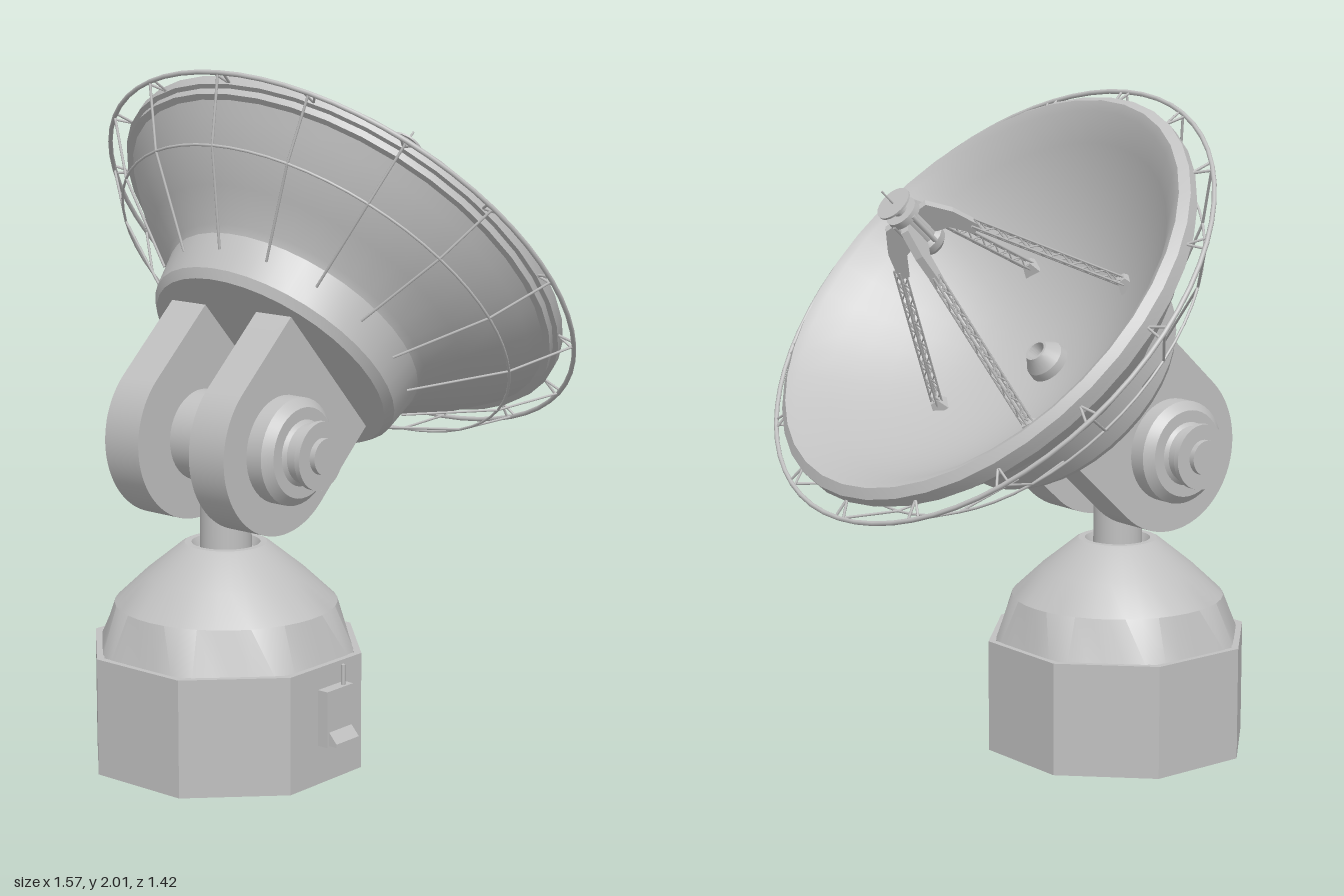
import * as THREE from 'three';
import { toCreasedNormals } from 'three/addons/utils/BufferGeometryUtils.js';

const grey = new THREE.MeshStandardMaterial({ color: 0xc0c0c0, side: THREE.DoubleSide });
grey.name = 'light grey metal';

function add(parent, name, geometry) {
  const mesh = new THREE.Mesh(geometry, grey);
  mesh.name = name;
  parent.add(mesh);
  return mesh;
}

function lathe(points, segments = 40, crease = 0.45) {
  const g = new THREE.LatheGeometry(points.map(([r, y]) => new THREE.Vector2(r, y)), segments);
  return toCreasedNormals(g, crease);
}

// Round bar between two points
function bar(parent, name, a, b, radius, sides = 6) {
  const dir = b.clone().sub(a);
  const mesh = add(parent, name, new THREE.CylinderGeometry(radius, radius, dir.length(), sides));
  mesh.position.copy(a).addScaledVector(dir, 0.5);
  mesh.quaternion.setFromUnitVectors(new THREE.Vector3(0, 1, 0), dir.normalize());
  return mesh;
}

// Point at an angle around the dish axis
const polar = (r, y, t) => new THREE.Vector3(r * Math.sin(t), y, r * Math.cos(t));

function createBase() {
  const base = new THREE.Group();
  base.name = 'base';
  base.position.z = 0.35;

  // Open eight-sided wall with a narrow rim
  const wall = add(base, 'octagonWall', lathe([[0.411, 0], [0.411, 0.345], [0.388, 0.345], [0.388, 0.33]], 8));
  wall.rotation.y = Math.PI / 8;

  // Dome that blends from the octagon into a cone
  const profile = [[0.36, 0.335], [0.325, 0.47], [0.235, 0.555], [0.13, 0.64], [0.12, 0.645],
    [0.1, 0.645], [0.09, 0.62], [0.06, 0.62]];
  const dome = new THREE.LatheGeometry(profile.map(([r, y]) => new THREE.Vector2(r, y)), 40);
  const p = dome.attributes.position;
  for (let i = 0; i < p.count; i++) {
    if (p.getY(i) > 0.34) continue;
    const t = Math.atan2(p.getX(i), p.getZ(i));
    const off = t - Math.round(t / (Math.PI / 4)) * (Math.PI / 4);
    const r = 0.365 / Math.cos(off);
    p.setXYZ(i, r * Math.sin(t), p.getY(i), r * Math.cos(t));
  }
  add(base, 'dome', toCreasedNormals(dome, 0.45));

  const neck = add(base, 'neck', new THREE.CylinderGeometry(0.075, 0.075, 0.28, 32));
  neck.position.y = 0.75;

  // Control box on the left wall with a sloping tray and a conduit
  const box = new THREE.Group();
  box.name = 'controlBox';
  box.position.set(0.38, 0, -0.02);
  base.add(box);
  add(box, 'boxBody', new THREE.BoxGeometry(0.035, 0.165, 0.115)).position.set(0.017, 0.198, 0);
  const tray = new THREE.Shape([[0.03, 0.12], [0.062, 0.12], [0.062, 0.13], [0.035, 0.16]]
    .map(([x, y]) => new THREE.Vector2(x, y)));
  add(box, 'boxTray', new THREE.ExtrudeGeometry(tray, { depth: 0.1, bevelEnabled: false })).position.z = -0.05;
  bar(box, 'conduit', new THREE.Vector3(0.02, 0.27, -0.03), new THREE.Vector3(0.02, 0.34, -0.03), 0.006, 8);
  return base;
}

function createMount(head) {
  // Two yoke arms, round at the pivot and square at the drum
  const outline = new THREE.Shape();
  outline.moveTo(-0.25, 0);
  outline.absarc(0, 0, 0.25, Math.PI, 2 * Math.PI, false);
  outline.lineTo(0.25, 0.3);
  outline.lineTo(-0.25, 0.3);
  const arm = new THREE.ExtrudeGeometry(outline, { depth: 0.13, bevelEnabled: false, curveSegments: 24 });
  arm.translate(0, 0, -0.065);
  arm.rotateY(-Math.PI / 2);
  const armGeometry = toCreasedNormals(arm, 0.45);

  // Stepped bearing caps on both ends of the axle
  const cap = lathe([[0.155, 0.22], [0.155, 0.28], [0.13, 0.305], [0.095, 0.305], [0.085, 0.315], [0.085, 0.35],
    [0.098, 0.353], [0.098, 0.37], [0.052, 0.37], [0.052, 0.388], [0, 0.388]]);
  for (const s of [1, -1]) {
    add(head, s > 0 ? 'leftYokeArm' : 'rightYokeArm', armGeometry).position.x = s * 0.162;
    add(head, s > 0 ? 'leftBearing' : 'rightBearing', cap).rotation.z = -s * Math.PI / 2;
  }
  const barrel = add(head, 'pivotBarrel', lathe([[0.11, -0.1], [0.11, -0.083], [0.133, -0.083], [0.133, 0.083],
    [0.11, 0.083], [0.11, 0.1]]));
  barrel.rotation.z = Math.PI / 2;
}

function createDish(head) {
  // Drum, back of the dish, stepped rim and parabolic bowl in one closed profile
  const profile = [[0, 0.28], [0.378, 0.28], [0.398, 0.305], [0.415, 0.42], [0.43, 0.44], [0.52, 0.51],
    [0.6, 0.578], [0.66, 0.645], [0.69, 0.68], [0.712, 0.682], [0.712, 0.703], [0.727, 0.706],
    [0.727, 0.738], [0.7, 0.757], [0.672, 0.742]];
  for (let i = 1; i <= 10; i++) {
    const k = 1 - i / 10;
    profile.push([0.672 * k, 0.38 + 0.362 * k * k]);
  }
  add(head, 'dish', lathe(profile, 40));

  // Feed horn in the middle of the bowl
  add(head, 'feedHorn', lathe([[0.066, 0.38], [0.062, 0.41], [0.042, 0.44], [0.036, 0.452], [0.028, 0.452], [0.02, 0.42], [0, 0.415]], 24));

  // Outer and middle hoops
  for (const [name, r, y, tube] of [['outerHoop', 0.78, 0.7, 0.007], ['middleHoop', 0.648, 0.545, 0.004]]) {
    const hoop = add(head, name, new THREE.TorusGeometry(r, tube, 8, 64));
    hoop.rotation.x = Math.PI / 2;
    hoop.position.y = y;
  }

  // Bent ribs from drum to outer hoop, and V brackets from hoop to rim
  const ribs = new THREE.Group();
  ribs.name = 'ribs';
  head.add(ribs);
  for (let i = 0; i < 16; i++) {
    const t = i * Math.PI / 8;
    bar(ribs, 'lowerRib', polar(0.41, 0.365, t), polar(0.648, 0.545, t), 0.004);
    bar(ribs, 'upperRib', polar(0.648, 0.545, t), polar(0.78, 0.7, t), 0.004);
    for (const d of [-0.025, 0.025]) bar(ribs, 'rimBracket', polar(0.72, 0.715, t), polar(0.78, 0.7, t + d), 0.004);
  }
}

// Square lattice beam
function truss(parent, a, b) {
  const leg = new THREE.Group();
  leg.name = 'feedLeg';
  parent.add(leg);
  const dir = b.clone().sub(a);
  const length = dir.length();
  leg.position.copy(a);
  leg.quaternion.setFromUnitVectors(new THREE.Vector3(0, 1, 0), dir.normalize());
  const w = 0.011, bays = 14;
  const corners = [[w, w], [w, -w], [-w, -w], [-w, w]];
  corners.forEach(([x, z], i) => {
    bar(leg, 'legRail', new THREE.Vector3(x, 0, z), new THREE.Vector3(x, length, z), 0.0035, 5);
    const n = corners[(i + 1) % 4];
    for (let k = 0; k < bays; k++) {
      const [p, q] = k % 2 ? [[x, z], n] : [n, [x, z]];
      bar(leg, 'legBrace', new THREE.Vector3(p[0], length * k / bays, p[1]),
        new THREE.Vector3(q[0], length * (k + 1) / bays, q[1]), 0.0025, 4);
    }
  });
}

function createFeed(head) {
  const feed = new THREE.Group();
  feed.name = 'feedAssembly';
  head.add(feed);

  // Receiver with a rounded nose and a thin top plate
  add(feed, 'receiver', lathe([[0, 0.945], [0.03, 0.95], [0.048, 0.967], [0.052, 0.99], [0.038, 1.0], [0.038, 1.09],
    [0.05, 1.09], [0.05, 1.112], [0.02, 1.112], [0.02, 1.14], [0, 1.14]], 24));
  add(feed, 'topPlate', new THREE.CylinderGeometry(0.055, 0.055, 0.006, 24)).position.y = 1.145;
  bar(feed, 'spike', new THREE.Vector3(0, 1.14, 0), new THREE.Vector3(0, 1.2, 0), 0.003);

  // Gusset drawn in the radius and height plane
  const gusset = new THREE.Shape([[0.03, 1.0], [0.075, 0.985], [0.115, 0.92], [0.145, 0.93], [0.115, 1.02], [0.07, 1.09], [0.03, 1.09]]
    .map(([x, y]) => new THREE.Vector2(x, y)));
  const gussetGeometry = new THREE.ExtrudeGeometry(gusset, { depth: 0.024, bevelEnabled: false });
  gussetGeometry.translate(0, 0, -0.012);
  gussetGeometry.rotateY(-Math.PI / 2);

  // Four legs with flared feet and gussets
  for (const sx of [1, -1]) for (const sz of [1, -1]) {
    const foot = new THREE.Vector3(sx * 0.22, 0.485, sz * 0.26);
    truss(feed, foot, new THREE.Vector3(sx * 0.085, 0.95, sz * 0.096));
    const t = Math.atan2(sx * 0.22, sz * 0.26);
    const pad = add(feed, 'legFoot', new THREE.CylinderGeometry(0.018, 0.036, 0.035, 4).rotateY(Math.PI / 4).toNonIndexed());
    pad.geometry.computeVertexNormals();
    pad.position.copy(foot);
    pad.rotation.set(0, t, 0);
    add(feed, 'gusset', gussetGeometry).rotation.y = t;
    const rod = polar(0.046, 0, t + Math.PI / 4);
    bar(feed, 'receiverRod', rod.clone().setY(0.99), rod.clone().setY(1.1), 0.008, 8);
  }
}

export function createModel() {
  const model = new THREE.Group();
  model.name = 'satelliteDish';
  model.add(createBase());

  // Tilting head: local y is the dish axis, the origin is the pivot
  const head = new THREE.Group();
  head.name = 'tiltingHead';
  head.position.set(0, 0.953, 0.362);
  head.rotation.x = -0.828;
  model.add(head);
  createMount(head);
  createDish(head);
  createFeed(head);
  return model;
}
